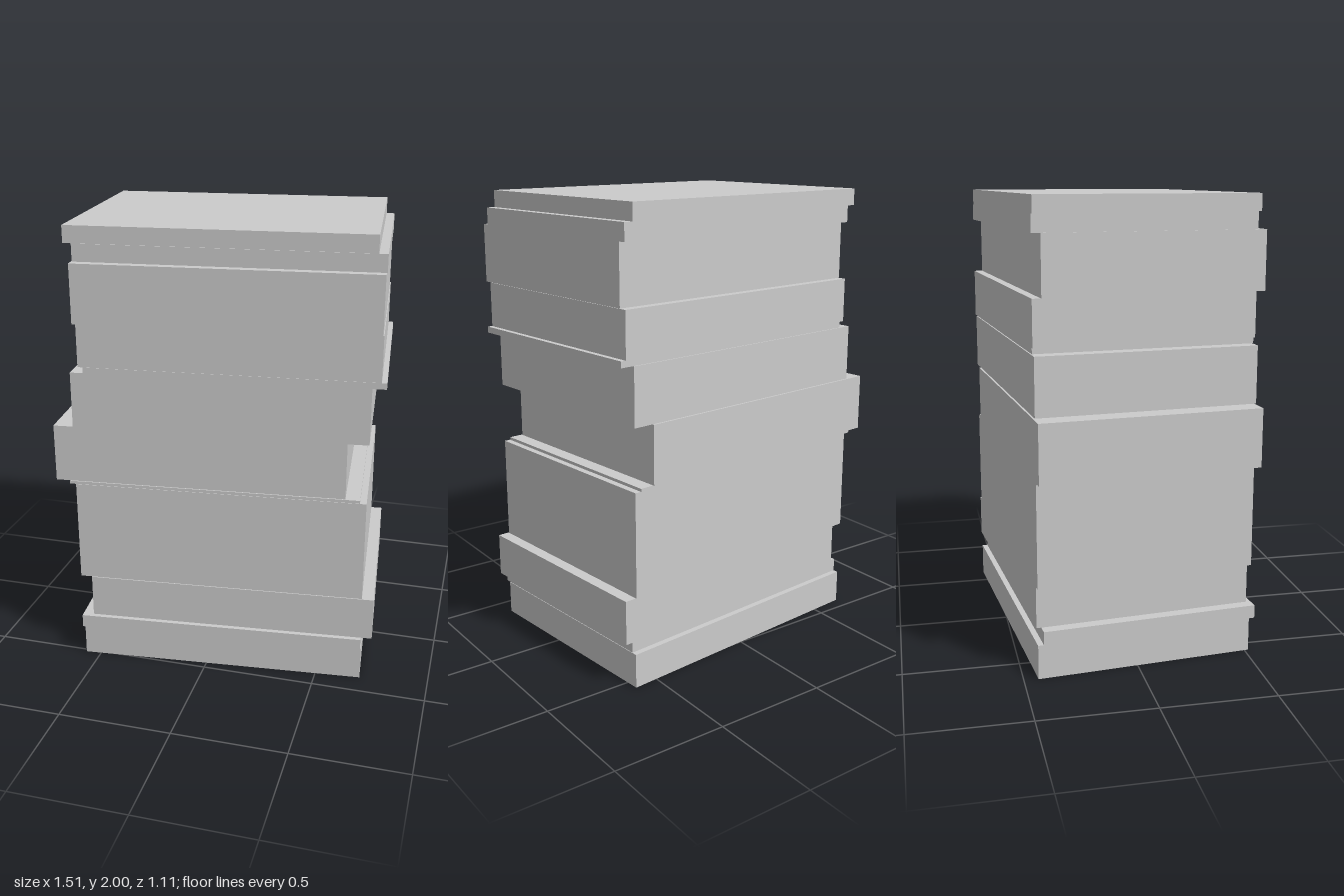
import * as THREE from 'three';

// Stack of equal rectangular slabs, all turned alike, each nudged sideways.
export function createModel() {
  const group = new THREE.Group();
  group.name = 'slabStack';
  const material = new THREE.MeshStandardMaterial({ color: 0xcccccc, flatShading: true });

  const width = 1.275, depth = 0.959, turn = 0.094;
  const centreX = 0.014, centreZ = -0.02;

  // Each slab: [top height, shift in x, shift in z]
  const slabs = [
    [0.151, 0.006, 0],
    [0.21, 0.006, 0.025],
    [0.403, 0.052, 0],
    [0.859, 0, 0],
    [0.872, -0.028, 0],
    [1.127, -0.091, 0],
    [1.376, 0, 0],
    [1.403, 0.059, 0],
    [1.599, 0.037, 0],
    [1.853, 0.037, 0.038],
    [1.927, 0.037, 0],
    [2, 0, 0],
  ];

  let bottom = 0;
  slabs.forEach(([top, dx, dz], i) => {
    const slab = new THREE.Mesh(new THREE.BoxGeometry(width, top - bottom, depth), material);
    slab.name = `slab${i + 1}`;
    slab.position.set(centreX + dx, (top + bottom) / 2, centreZ + dz);
    slab.rotation.y = turn;
    group.add(slab);
    bottom = top;
  });

  return group;
}
